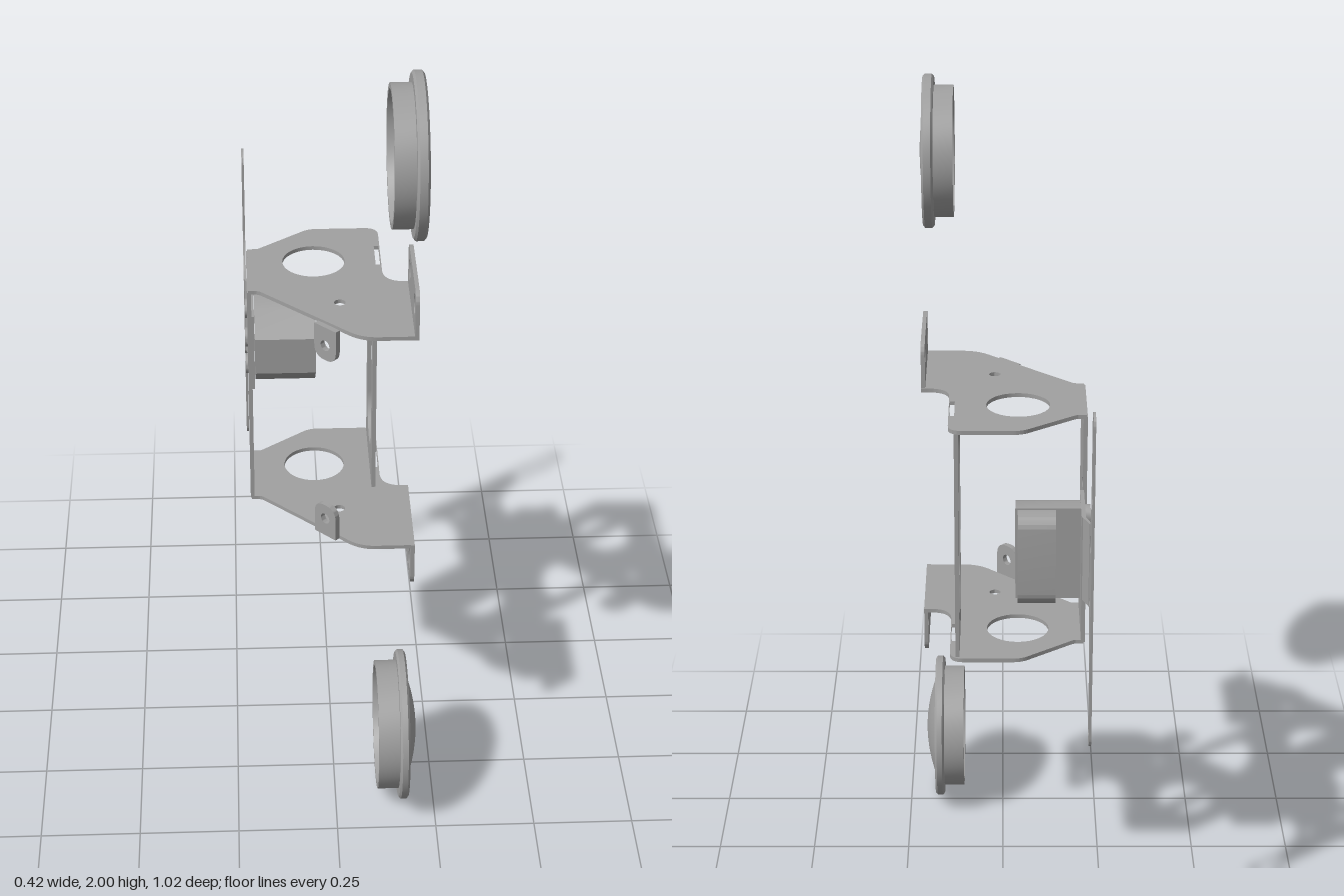
import * as THREE from 'three';
import { toCreasedNormals } from 'three/addons/utils/BufferGeometryUtils.js';

const T = 0.01; // sheet thickness

// Closed outline from [x, y, cornerRadius] points
function rounded(points) {
  const shape = new THREE.Shape();
  const n = points.length;
  points.forEach(([x, y, r = 0], i) => {
    const p = new THREE.Vector2(x, y);
    const a = new THREE.Vector2(...points[(i + n - 1) % n].slice(0, 2)).sub(p).setLength(r).add(p);
    const b = new THREE.Vector2(...points[(i + 1) % n].slice(0, 2)).sub(p).setLength(r).add(p);
    if (i === 0) shape.moveTo(a.x, a.y); else shape.lineTo(a.x, a.y);
    if (r > 0) shape.quadraticCurveTo(x, y, b.x, b.y);
  });
  shape.closePath();
  return shape;
}

function ellipse(x, y, rx, ry = rx) {
  return new THREE.Path().absellipse(x, y, rx, ry, 0, Math.PI * 2, false);
}

// Slot with round ends, upright
function slot(x, y0, y1, r) {
  const p = new THREE.Path();
  p.absarc(x, y1 - r, r, 0, Math.PI, false);
  p.absarc(x, y0 + r, r, Math.PI, Math.PI * 2, false);
  p.closePath();
  return p;
}

function extrude(shape, depth, holes = []) {
  shape.holes.push(...holes);
  return new THREE.ExtrudeGeometry(shape, { depth, bevelEnabled: false, curveSegments: 16 });
}

// Upright sheet: outline in (-z, y), thickness along +x from x
function sideSheet(points, x, depth, holes) {
  return extrude(rounded(points), depth, holes).rotateY(Math.PI / 2).translate(x, 0, 0);
}

// Level sheet: outline in (x, -z), thickness along +y from y
function levelSheet(points, y, depth, holes) {
  return extrude(rounded(points), depth, holes).rotateX(-Math.PI / 2).translate(0, y, 0);
}

export function createModel() {
  const model = new THREE.Group();
  const steel = new THREE.MeshStandardMaterial({ color: 0xa0a0a0 });
  steel.name = 'grey steel';

  function add(name, geometry) {
    const mesh = new THREE.Mesh(toCreasedNormals(geometry, 0.6), steel);
    mesh.name = name;
    model.add(mesh);
    return mesh;
  }

  // Upper and lower halves of the bracket
  for (const [s, side] of [[1, 'upper'], [-1, 'lower']]) {
    const y = (v) => 1 + s * v;

    // Level plate with a large and a small hole and a notch
    add(side + 'Plate', levelSheet([
      [-0.2, 0.18], [-0.2, -0.03], [-0.175, -0.03, 0.01], [0.065, -0.26, 0.04], [0.2, -0.26],
      [0.2, 0.005], [0.13, 0.005, 0.055], [0.13, 0.28, 0.035], [-0.045, 0.28, 0.02], [-0.175, 0.18, 0.005],
    ], y(0.3) - T / 2, T, [
      ellipse(-0.037, 0.113, 0.077), ellipse(0.02, -0.093, 0.014),
      rounded([[0.116, 0.09], [0.128, 0.09], [0.128, 0.185], [0.116, 0.185]]),
    ]));

    // Upright mounting ear
    add(side + 'Ear', sideSheet([
      [-0.262, y(0.295)], [0.002, y(0.295)], [0.002, y(0.42), 0.035], [-0.262, y(0.42), 0.035],
    ], 0.19, T, [ellipse(-0.215, y(0.367), 0.02, 0.027), ellipse(-0.05, y(0.367), 0.02, 0.027)]));

    // Small tab folded from the slanted edge
    const tab = extrude(rounded([
      [-0.035, y(0.3)], [0.035, y(0.3)], [0.035, y(0.21), 0.033], [-0.035, y(0.21), 0.033],
    ]), 0.014, [ellipse(0, y(0.25), 0.014)]);
    add(side + 'Tab', tab.rotateY(-Math.PI / 4).translate(-0.01, 0, 0.192));
  }

  // Closed wall on one side of the bracket, with two screw holes
  add('closedWall', sideSheet([
    [-0.03, 0.7], [0.18, 0.7], [0.18, 1.3], [-0.03, 1.3],
  ], -0.203, T, [ellipse(0.13, 0.89, 0.012), ellipse(0.13, 1.11, 0.012)]));

  // Open wall on the other side, with a long window
  add('windowWall', sideSheet([
    [0, 0.7], [0.27, 0.7], [0.27, 1.3], [0, 1.3],
  ], 0.106, T, [slot(0.135, 0.765, 1.245, 0.09)]));

  // Swivel hinge body, flared from front to back
  add('hingeBody', sideSheet([
    [0.165, 0.95], [0.228, 0.895], [0.265, 0.885], [0.312, 0.885],
    [0.312, 1.12], [0.265, 1.12], [0.228, 1.105], [0.165, 1.05],
  ], -0.185, 0.155));

  // Hinge knuckle behind the body
  add('hingeKnuckle', sideSheet([
    [0.31, 0.888], [0.35, 0.888, 0.01], [0.367, 0.91, 0.01],
    [0.367, 1.095, 0.01], [0.35, 1.117, 0.01], [0.31, 1.117],
  ], -0.125, 0.09));

  // Sheet that joins the hinge to the slotted plate, with its bend
  add('hingeSheet', sideSheet([
    [0.18, 0.895], [0.342, 0.895], [0.342, 1.11], [0.18, 1.11],
  ], -0.196, T));
  add('hingeBend', levelSheet([
    [-0.196, 0.34], [-0.188, 0.34], [-0.203, 0.377], [-0.209, 0.377],
  ], 0.895, 0.215));

  // Screw heads on the outer face of the hinge sheet
  for (const y of [0.92, 1.0, 1.085]) {
    add('hingeScrew', new THREE.CylinderGeometry(0.025, 0.025, 0.016, 20)
      .rotateZ(Math.PI / 2).translate(-0.201, y, -0.267));
  }

  // Slotted rear plate
  add('slottedPlate', sideSheet([
    [0.374, 0.895], [0.41, 0.885, 0.02], [0.45, 0.82, 0.02], [0.45, 0.58, 0.03], [0.51, 0.58, 0.03],
    [0.51, 1.43, 0.03], [0.45, 1.43, 0.03], [0.45, 1.19, 0.02], [0.41, 1.12, 0.02], [0.374, 1.11],
  ], -0.21, 0.006, [
    slot(0.48, 0.592, 0.805, 0.018), slot(0.48, 1.2, 1.418, 0.018),
    slot(0.413, 0.91, 0.955, 0.012), slot(0.413, 1.05, 1.095, 0.012),
    ellipse(0.43, 0.86, 0.007), ellipse(0.43, 1.145, 0.007),
  ]));

  // Round caps: hollow cup, wide rim and domed face
  function cap(name, y, back, rim, rimFront) {
    const apex = 0.206;
    const base = rimFront - 0.008;
    const profile = [[0, back + 0.03], [0.143, back + 0.03], [0.15, back], [0.163, back], [0.163, rim],
      [0.184, rim], [0.19, rim + 0.005], [0.19, rimFront - 0.005], [0.184, rimFront],
      [0.165, rimFront], [0.157, base]];
    for (let i = 0; i <= 8; i++) {
      const r = 0.153 * (1 - i / 8);
      profile.push([r, base + (apex - base) * (1 - (r / 0.153) ** 2)]);
    }
    const points = profile.map(([r, x]) => new THREE.Vector2(r, x));
    add(name, new THREE.LatheGeometry(points, 48).rotateZ(-Math.PI / 2).translate(0, y, 0.322));
  }
  cap('upperCap', 1.81, 0.122, 0.17, 0.198);
  cap('lowerCap', 0.19, 0.105, 0.158, 0.182);

  return model;
}
